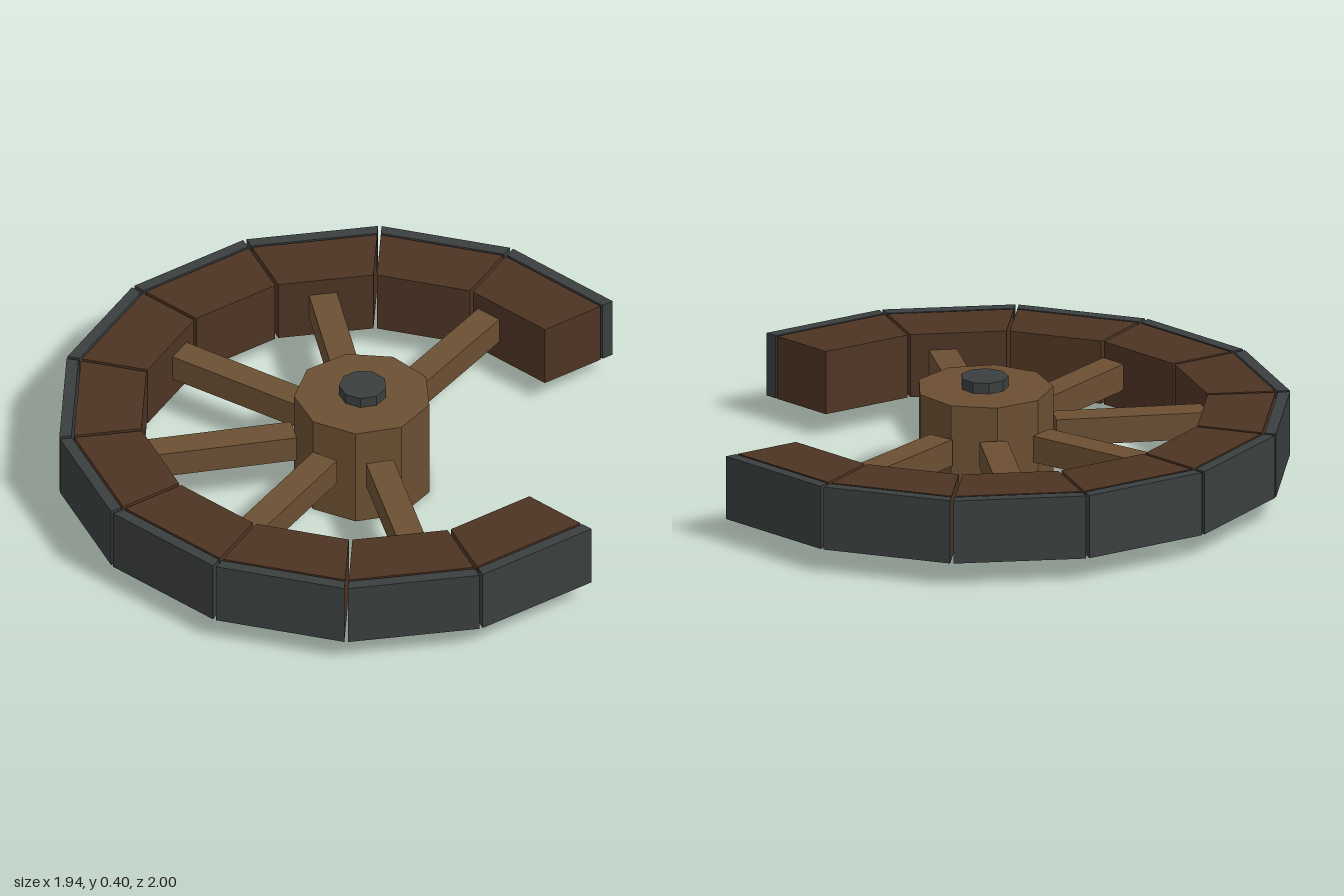
import * as THREE from 'three';

const HUB_X = 0.05;               // the broken wheel's axle sits slightly off centre
const SIDES = 14;
const STEP = (Math.PI * 2) / SIDES;
const RIM_BOTTOM = 0.083, RIM_HEIGHT = 0.22, GAP = 0.006;

const paint = (color) => new THREE.MeshStandardMaterial({ color, flatShading: true });

// Trapezoid block spanning one side of the rim between two apothems
function rimBlock(inner, outer) {
  const half = (r) => r * Math.tan(STEP / 2) - GAP;
  const shape = new THREE.Shape([
    new THREE.Vector2(-half(inner), inner),
    new THREE.Vector2(half(inner), inner),
    new THREE.Vector2(half(outer), outer),
    new THREE.Vector2(-half(outer), outer),
  ]);
  return new THREE.ExtrudeGeometry(shape, { depth: RIM_HEIGHT, bevelEnabled: false })
    .rotateX(-Math.PI / 2)
    .translate(0, RIM_BOTTOM, 0);
}

export function createModel() {
  const wheel = new THREE.Group();
  wheel.name = 'brokenWheel';
  wheel.position.x = HUB_X;

  const wood = paint(0x6b4f32);
  const darkWood = paint(0x4d3423);
  const iron = paint(0x3a3e3f);

  const add = (name, geometry, material, angle = 0) => {
    const mesh = new THREE.Mesh(geometry, material);
    mesh.name = name;
    mesh.rotation.y = angle;
    wheel.add(mesh);
  };

  // Nine-sided hub and axle cap
  const hub = new THREE.CylinderGeometry(0.23, 0.23, 0.36, 9).translate(0, 0.18, 0);
  add('hub', hub, wood, Math.PI / 2);
  const cap = new THREE.CylinderGeometry(0.08, 0.08, 0.065, 9).translate(0, 0.3645, 0);
  add('axleCap', cap, iron, Math.PI / 2);

  // Six surviving spokes, ending inside the rim
  const spoke = new THREE.BoxGeometry(0.6, 0.092, 0.094).translate(0.535, 0.2, 0);
  for (const degrees of [71.3, 116.5, 162.5, 207.8, 253.5, 299.8]) {
    add('spoke', spoke, wood, THREE.MathUtils.degToRad(degrees));
  }

  // Eleven of fourteen rim sections, each with its iron tyre plate
  const felloe = rimBlock(0.73, 0.952);
  const tyre = rimBlock(0.96, 1.0);
  for (let k = -1; k <= 9; k++) {
    add('rimSection', felloe, darkWood, k * STEP);
    add('tyrePlate', tyre, iron, k * STEP);
  }

  const model = new THREE.Group();
  model.name = 'wheelModel';
  model.add(wheel);
  return model;
}
